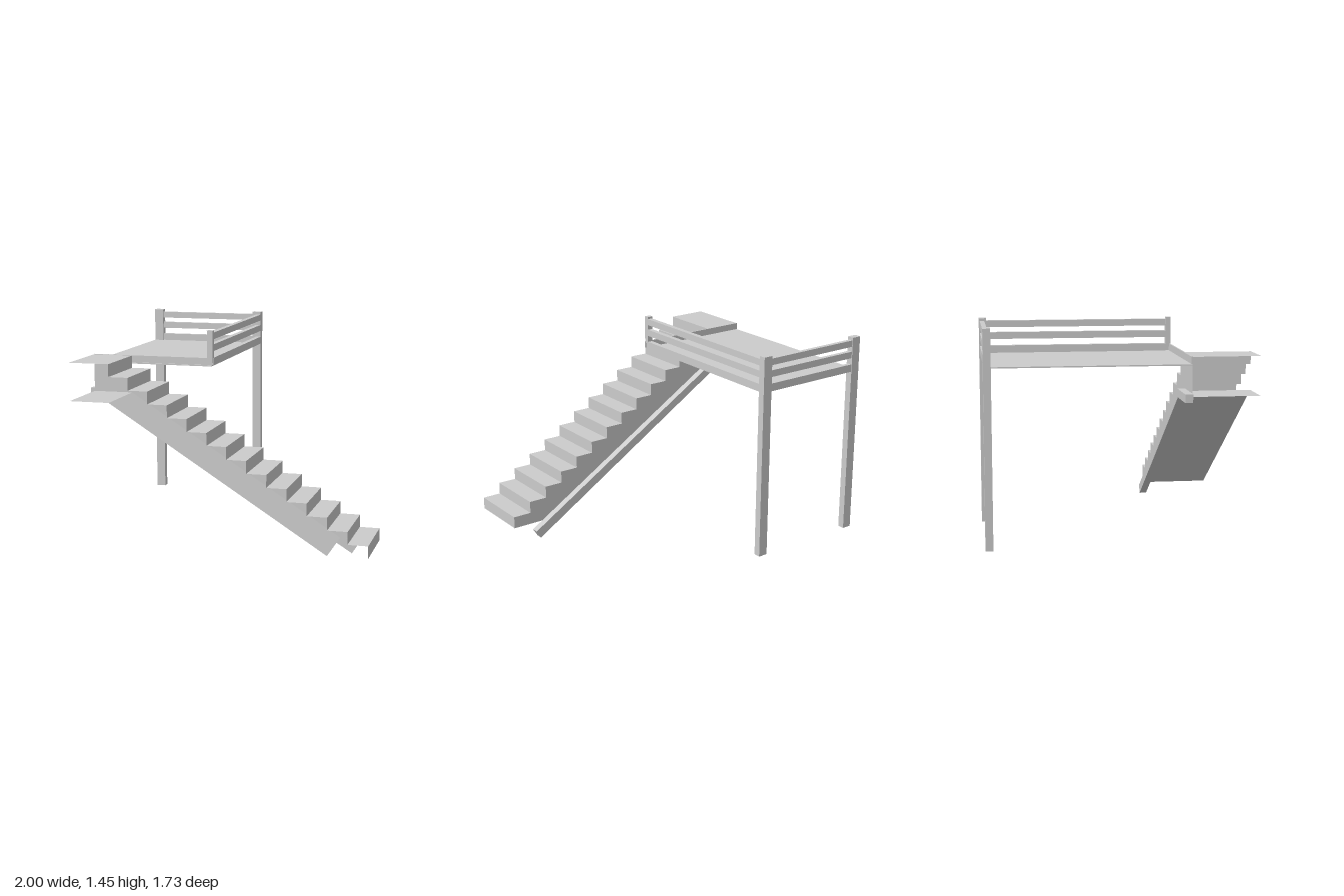
import * as THREE from 'three';

const solid = new THREE.MeshStandardMaterial({ color: 0xcccccc, flatShading: true });
const thin = new THREE.MeshStandardMaterial({ color: 0xcccccc, flatShading: true, side: THREE.DoubleSide });

// Box given by its extents on each axis
function box(name, [x0, x1], [y0, y1], [z0, z1]) {
  const mesh = new THREE.Mesh(new THREE.BoxGeometry(x1 - x0, y1 - y0, z1 - z0), solid);
  mesh.position.set((x0 + x1) / 2, (y0 + y1) / 2, (z0 + z1) / 2);
  mesh.name = name;
  return mesh;
}

// Open sheet: an x-y profile swept straight from z0 to z1
function sheet(name, profile, z0, z1) {
  const pos = [];
  for (let i = 0; i < profile.length - 1; i++) {
    const [ax, ay] = profile[i], [bx, by] = profile[i + 1];
    pos.push(ax, ay, z0, ax, ay, z1, bx, by, z1, ax, ay, z0, bx, by, z1, bx, by, z0);
  }
  const geo = new THREE.BufferGeometry();
  geo.setAttribute('position', new THREE.Float32BufferAttribute(pos, 3));
  geo.computeVertexNormals();
  const mesh = new THREE.Mesh(geo, thin);
  mesh.name = name;
  return mesh;
}

const toShape = (pts) => new THREE.Shape(pts.map(([x, y]) => new THREE.Vector2(x, y)));

export function createModel() {
  const model = new THREE.Group();
  model.name = 'platformWithStairs';

  // Thin deck set low inside the bottom rails, with a narrow front board
  model.add(box('deck', [-0.97, -0.14], [1.207, 1.215], [-0.84, 0.43]));
  model.add(box('frontBoard', [-0.97, -0.125], [1.217, 1.263], [0.422, 0.432]));

  // Posts
  const postZ = [-0.865, -0.817];
  model.add(box('backRightPost', [-0.195, -0.13], [0.062, 1.45], postZ));
  model.add(box('backLeftPost', [-0.97, -0.905], [0.062, 1.45], postZ));
  model.add(box('frontPost', [-0.17, -0.13], [1.218, 1.445], [0.4, 0.434]));

  // Three rails on the back and on the open side
  [[1.212, 1.264], [1.308, 1.353], [1.387, 1.431]].forEach((y, i) => {
    model.add(box('backRail' + (i + 1), [-0.905, -0.195], y, [-0.86, -0.83]));
    model.add(box('sideRail' + (i + 1), [-0.165, -0.13], y, [-0.817, 0.4]));
  });

  // Stair flight: landing, then alternating risers and treads
  const stairs = new THREE.Group();
  stairs.name = 'stairs';
  const steps = 13, run = 0.1306, rise = 0.0828, startX = -0.698, top = 1.261;
  const zIn = 0.43, zOut = 0.865;
  const profile = [[-0.97, top], [startX, top]];
  for (let i = 0; i < steps; i++) {
    const y = top - rise * (i + 1);
    profile.push([startX + run * i, y], [startX + run * (i + 1), y]);
  }
  const endY = top - rise * (steps + 1);
  profile.push([startX + run * steps, endY]);
  stairs.add(sheet('treadsAndRisers', profile, zIn, zOut));

  // Soffit under the landing and flight
  const soffit = [[-0.97, 1.01], [-0.7, 1.01], [0.74, endY]];
  stairs.add(sheet('soffit', soffit, zIn, zOut));

  // Side panel on the inner side
  const panel = new THREE.Mesh(
    new THREE.ShapeGeometry(toShape([...profile, ...[...soffit].reverse()])), thin);
  panel.position.z = zIn;
  panel.name = 'sidePanel';
  stairs.add(panel);

  // Bent stringer beam along the panel's lower edge
  const beam = toShape([[-1, 0.977], [-0.75, 0.977], [0.82, 0], [0.854, 0.055], [-0.734, 1.031], [-1, 1.031]]);
  const stringer = new THREE.Mesh(
    new THREE.ExtrudeGeometry(beam, { depth: 0.05, bevelEnabled: false }), solid);
  stringer.position.z = 0.38;
  stringer.name = 'stringer';
  stairs.add(stringer);

  model.add(stairs);
  return model;
}
